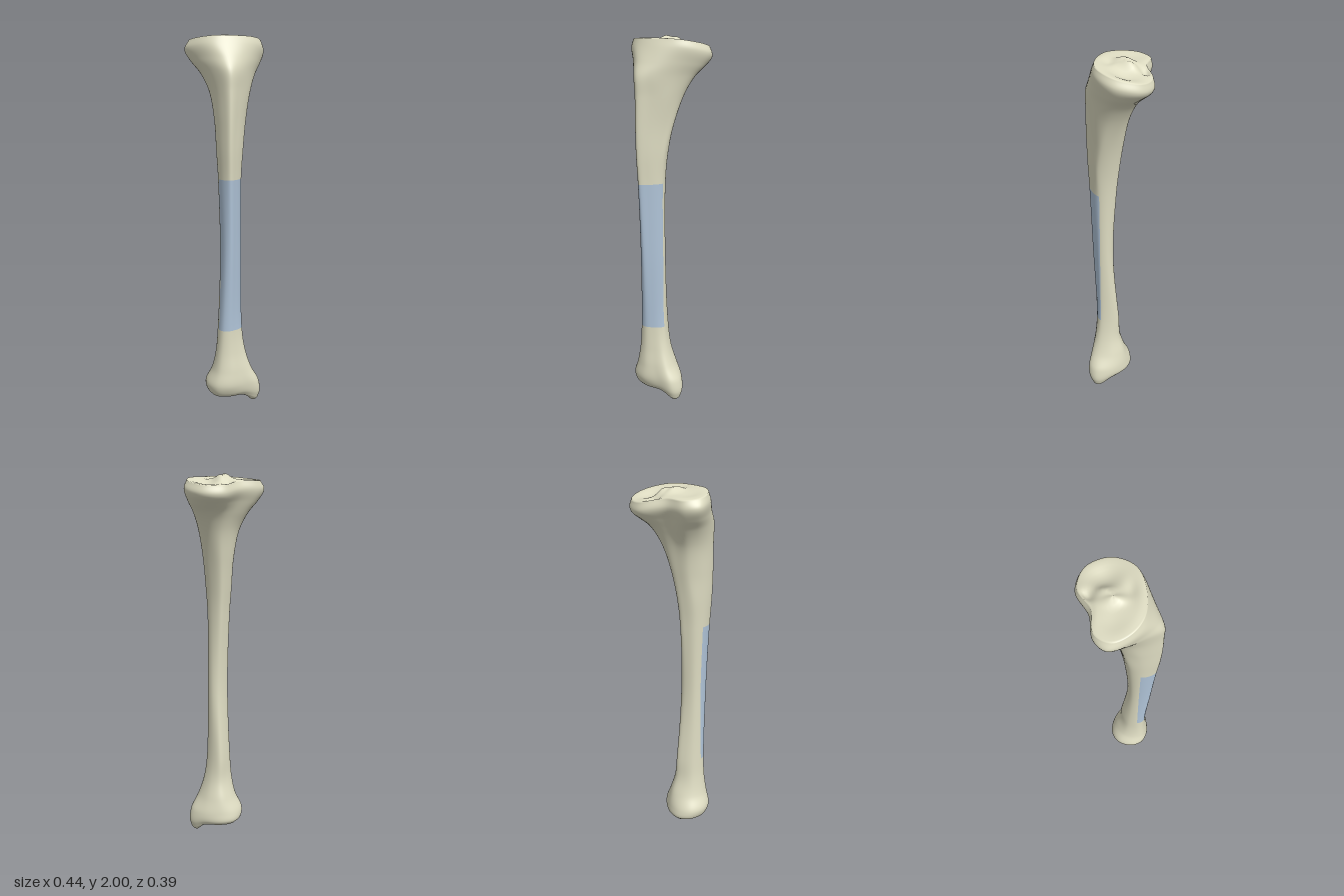
import * as THREE from 'three';

// Cross-sections: [height, then x,z of ten points: inner side, around the front, outer side, around the back]
const head = [
  [1.982, .203,-.04, .145,.07, .03,.11, -.09,.10, -.165,.045, -.2,-.04, -.155,-.115, -.04,-.125, .07,-.185, .17,-.15],
  [1.94, .22,-.04, .155,.075, .03,.128, -.10,.115, -.175,.05, -.218,-.06, -.165,-.12, -.05,-.135, .075,-.195, .18,-.155],
  [1.87, .195,-.03, .14,.075, .02,.152, -.08,.155, -.155,.07, -.19,-.04, -.145,-.1, -.04,-.11, .065,-.155, .155,-.12],
  [1.80, .155,-.005, .11,.085, 0,.172, -.07,.19, -.12,.12, -.15,0, -.115,-.07, -.03,-.085, .05,-.11, .12,-.08],
  [1.70, .11,.03, .08,.10, 0,.165, -.065,.195, -.10,.14, -.115,.04, -.09,-.02, -.03,-.045, .035,-.06, .085,-.03],
  [1.55, .072,.07, .05,.11, -.01,.165, -.065,.197, -.09,.16, -.102,.08, -.075,.01, -.03,-.015, .015,-.022, .055,.02],
];
const shaft = [
  [1.40, .046,.1, .025,.13, -.02,.17, -.065,.193, -.088,.16, -.098,.1, -.08,.04, -.04,.012, 0,.003, .035,.045],
  [1.25, .035,.1, .018,.13, -.02,.163, -.06,.184, -.083,.155, -.092,.1, -.075,.055, -.04,.03, -.005,.02, .026,.055],
  [0.85, .036,.1, .018,.125, -.015,.15, -.05,.168, -.074,.15, -.082,.1, -.068,.065, -.035,.045, 0,.04, .028,.06],
  [0.43, .043,.1, .025,.122, -.01,.14, -.05,.15, -.082,.135, -.093,.1, -.078,.05, -.04,.018, .005,.004, .034,.04],
];
const ankle = [
  [0.30, .062,.1, .045,.13, 0,.148, -.05,.155, -.09,.135, -.102,.1, -.085,.04, -.04,.008, .01,-.002, .05,.035],
  [0.20, .095,.1, .075,.145, .01,.162, -.05,.168, -.105,.14, -.12,.085, -.1,.02, -.05,-.02, .015,-.03, .075,.02],
  [0.12, .14,.1, .11,.155, .03,.165, -.06,.172, -.125,.14, -.15,.07, -.125,-.01, -.06,-.05, .02,-.045, .1,.01],
  [0.075, .15,.1, .12,.15, .03,.155, -.06,.155, -.115,.13, -.138,.07, -.115,-.015, -.055,-.055, .025,-.045, .11,.02],
  [0.052, .138,.1, .112,.138, .03,.138, -.05,.138, -.1,.115, -.118,.07, -.095,0, -.05,-.037, .025,-.028, .1,.03],
];
const COLS = 80, STEPS = 8;

// Rounded bump centred on (cx, cz)
const bump = (x, z, cx, cz, rx, rz = rx) => Math.exp(-(((x - cx) / rx) ** 2) - ((z - cz) / rz) ** 2);

// Backward slope of the knee surface and the downward knob at the ankle
function displace(p) {
  const slope = THREE.MathUtils.lerp(.12, .21, THREE.MathUtils.smoothstep(p.x, -.1, .15));
  p.y -= slope * Math.max(0, .1 - p.z) * THREE.MathUtils.smoothstep(p.y, 1.75, 1.94);
  p.y -= .052 * bump(p.x, p.z, .115, .1, .047, .055) * (1 - THREE.MathUtils.smoothstep(p.y, .045, .13));
  return p;
}

// Knee surface: two shallow dishes, central ridges and hollows before and behind
const kneeRelief = (x, z) =>
  .006 + .026 * bump(x, z, .035, -.06, .025, .045) + .024 * bump(x, z, -.01, -.03, .025, .05)
  - .022 * bump(x, z, .115, -.06, .055, .075) - .008 * bump(x, z, -.11, -.03, .06)
  - .025 * bump(x, z, .025, -.14, .03, .035) - .012 * bump(x, z, .03, .045, .05, .03);

// Ankle surface: arched socket
const ankleRelief = (x, z) => .02 * bump(x, z, 0, .05, .08, .05) - .008;

// Closes an end with rings shrinking from the rim to a centre
function capRings(rim, cx, cz, relief) {
  return [.96, .9, .82, .73, .64, .55, .46, .37, .28, .19, .1, 0].map((f) => rim.map((p) => {
    const x = cx + (p.x - cx) * f, z = cz + (p.z - cz) * f;
    return new THREE.Vector3(x, p.y + relief(x, z) * Math.min(1, (1 - f) * 5), z);
  }));
}

function buildBone() {
  // Smooth outline of each section
  const outlines = [...head, ...shaft, ...ankle].map(([y, ...xz]) => {
    const pts = [];
    for (let i = 0; i < xz.length; i += 2) pts.push(new THREE.Vector3(xz[i], y, xz[i + 1]));
    const curve = new THREE.CatmullRomCurve3(pts, true);
    return Array.from({ length: COLS }, (_, c) => curve.getPoint(c / COLS));
  });

  // Smooth lengthwise curves through the outlines
  const count = (outlines.length - 1) * STEPS;
  const columns = Array.from({ length: COLS }, (_, c) => new THREE.CatmullRomCurve3(outlines.map((o) => o[c])));
  const side = Array.from({ length: count + 1 }, (_, r) => columns.map((k) => k.getPoint(r / count)));
  const top = capRings(side[0], 0, -.03, kneeRelief).reverse();
  const bottom = capRings(side[count], .01, .06, ankleRelief);
  const rows = [...top, ...side, ...bottom];

  const positions = rows.flat().flatMap((p) => displace(p).toArray());

  // The coloured band covers the front half between two shaft sections
  const bandStart = top.length + (head.length + 1) * STEPS;
  const bandEnd = top.length + (head.length + 3) * STEPS;
  const bone = [], band = [];
  for (let r = 0; r < rows.length - 1; r++) {
    for (let c = 0; c < COLS; c++) {
      const a = r * COLS + c, b = r * COLS + (c + 1) % COLS;
      const inBand = r >= bandStart && r < bandEnd && c < COLS / 2;
      const list = inBand ? band : bone;
      if (r > 0) list.push(a, b, a + COLS);
      if (r < rows.length - 2) list.push(b, b + COLS, a + COLS);
    }
  }

  const geometry = new THREE.BufferGeometry();
  geometry.setAttribute('position', new THREE.Float32BufferAttribute(positions, 3));
  geometry.setIndex([...bone, ...band]);
  geometry.addGroup(0, bone.length, 0);
  geometry.addGroup(bone.length, band.length, 1);
  geometry.computeVertexNormals();
  return geometry;
}

export function createModel() {
  const ivory = new THREE.MeshStandardMaterial({ color: 0xdedcc2 });
  ivory.name = 'ivory bone';
  const blue = new THREE.MeshStandardMaterial({ color: 0xb0c4d8 });
  blue.name = 'pale blue band';

  const group = new THREE.Group();
  group.name = 'shinBoneModel';
  const mesh = new THREE.Mesh(buildBone(), [ivory, blue]);
  mesh.name = 'shinBone';
  group.add(mesh);
  return group;
}
